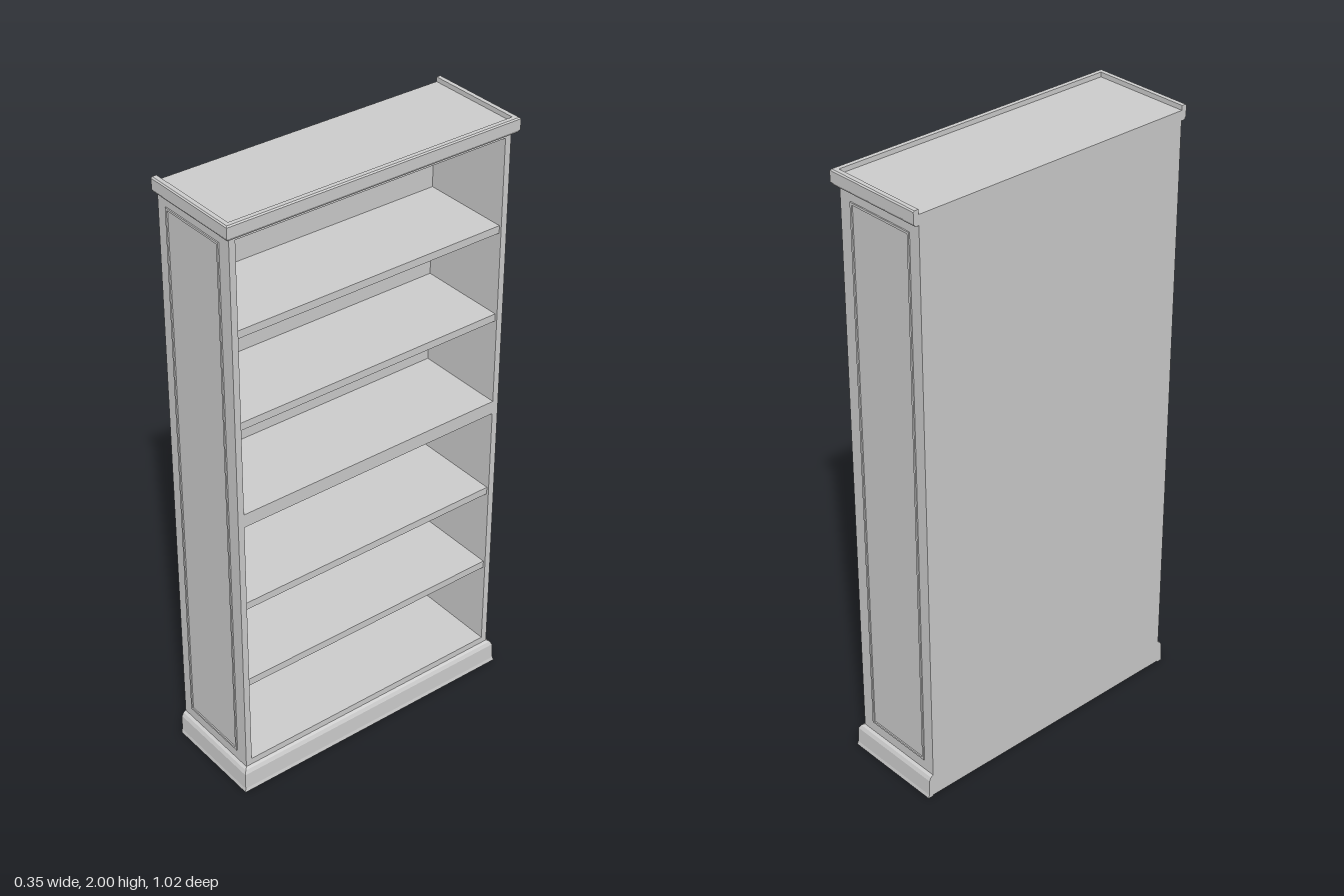
import * as THREE from 'three';

const BACK = -0.174, FRONT = 0.155, HALF = 0.491; // carcass extents

export function createModel() {
  const group = new THREE.Group();
  group.name = 'bookcase';
  const mat = new THREE.MeshStandardMaterial({ color: 0xcccccc, flatShading: true });

  const add = (name, geometry) => {
    const mesh = new THREE.Mesh(geometry, mat);
    mesh.name = name;
    group.add(mesh);
    return mesh;
  };
  // box given by its min and max on each axis
  const box = (name, x0, x1, y0, y1, z0, z1) =>
    add(name, new THREE.BoxGeometry(x1 - x0, y1 - y0, z1 - z0))
      .position.set((x0 + x1) / 2, (y0 + y1) / 2, (z0 + z1) / 2);

  // mitred moulding round both sides and the front; profile is [outward, y], counterclockwise
  const moulding = (name, profile) => {
    const n = profile.length, pos = [], idx = [];
    const corners = [[0, 1], [1, 1], [1, -1], [0, -1]];
    for (const [f, s] of corners)
      for (const [o, y] of profile) pos.push(f ? FRONT + o : BACK, y, s * (HALF + o));
    for (let c = 0; c < 3; c++)
      for (let i = 0; i < n; i++) {
        const j = (i + 1) % n, a = c * n + i, b = c * n + j;
        idx.push(a, a + n, b + n, a, b + n, b);
      }
    // end caps at the back
    const caps = THREE.ShapeUtils.triangulateShape(profile.map(p => new THREE.Vector2(...p)), []);
    for (const [a, b, c] of caps) idx.push(a, b, c, 3 * n + a, 3 * n + c, 3 * n + b);
    const g = new THREE.BufferGeometry();
    g.setAttribute('position', new THREE.Float32BufferAttribute(pos, 3));
    g.setIndex(idx);
    const flat = g.toNonIndexed();
    flat.computeVertexNormals();
    add(name, flat);
  };

  // carcass
  for (const s of [-1, 1])
    box(s > 0 ? 'sideFront' : 'sideBack', BACK, FRONT, 0.004, 1.985,
      Math.min(s * 0.47, s * HALF), Math.max(s * 0.47, s * HALF));
  box('backPanel', BACK, -0.155, 0.004, 1.985, -0.47, 0.47);
  box('topBoard', -0.155, FRONT, 1.94, 1.985, -0.47, 0.47);
  box('baseBoard', -0.155, FRONT, 0.004, 0.105, -0.47, 0.47);
  box('middleShelf', -0.155, FRONT, 1.0, 1.045, -0.47, 0.47);

  // thinner shelves, set slightly back
  for (const y of [0.395, 0.69, 1.33, 1.63])
    box('shelf', -0.155, FRONT - 0.008, y, y + 0.025, -0.47, 0.47);

  // crown and plinth
  moulding('crown', [[0, 1.953], [0.012, 1.953], [0.018, 1.962], [0.018, 1.996],
    [0.014, 2], [0, 2]]);
  moulding('plinth', [[0, 0], [0.02, 0], [0.017, 0.012], [0.015, 0.066],
    [0.009, 0.078], [0, 0.083]]);

  // slim raised frame on each side
  const x0 = -0.135, x1 = 0.11, y0 = 0.12, y1 = 1.92, w = 0.007;
  const rect = (C, d) => new C([[x0 + d, y0 + d], [x1 - d, y0 + d], [x1 - d, y1 - d], [x0 + d, y1 - d]]
    .map(p => new THREE.Vector2(...p)));
  const frame = rect(THREE.Shape, 0);
  frame.holes.push(rect(THREE.Path, w));
  const frameGeo = new THREE.ExtrudeGeometry(frame, { depth: 0.005, bevelEnabled: false });
  for (const s of [-1, 1])
    add('sideFrame', frameGeo).position.z = s > 0 ? HALF - 0.001 : -HALF - 0.004;

  return group;
}
